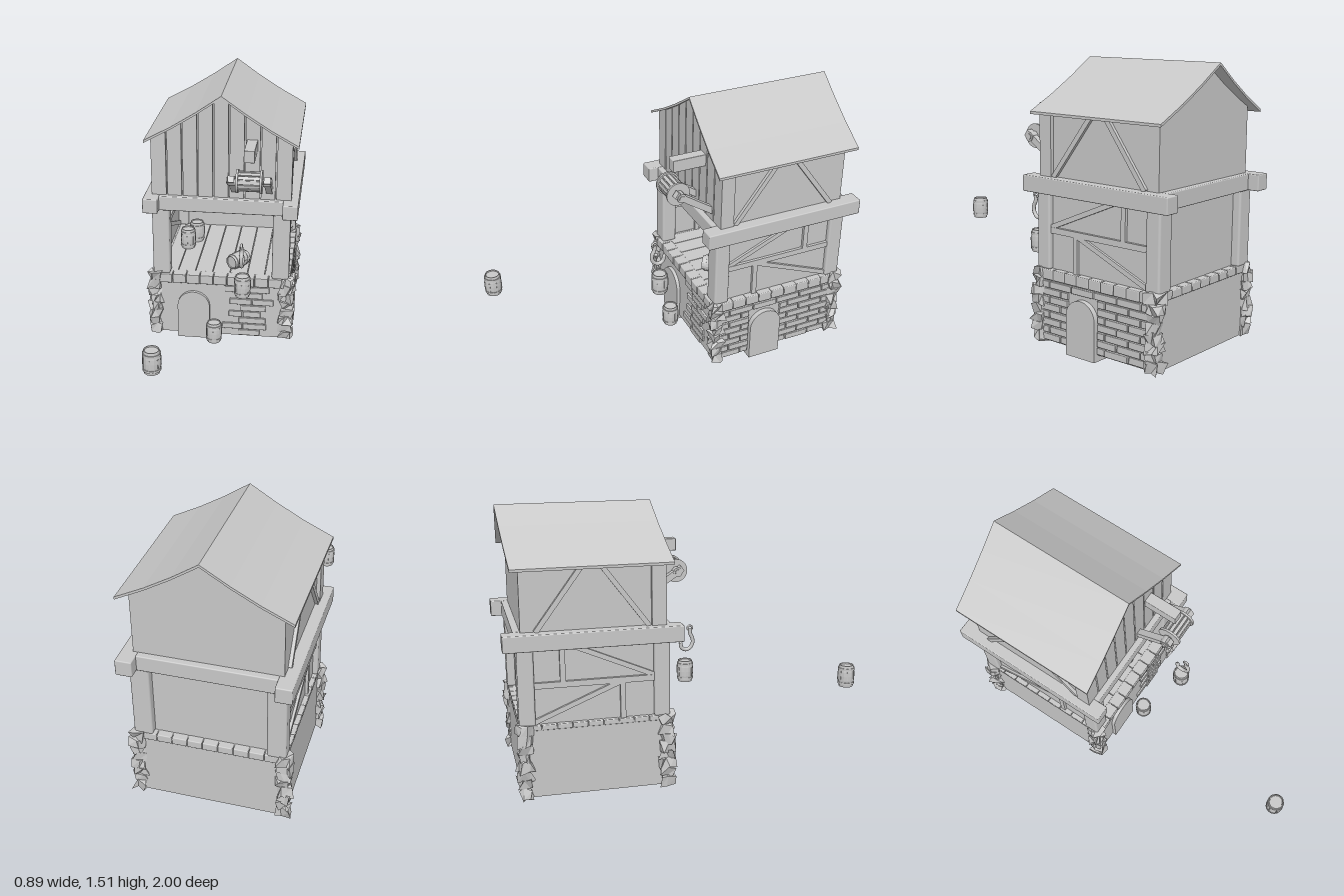
import * as THREE from 'three';
import { RoundedBoxGeometry } from 'three/addons/geometries/RoundedBoxGeometry.js';

export function createModel() {
  const root = new THREE.Group();
  root.name = 'warehouse';
  const grey = new THREE.MeshStandardMaterial({ color: 0xc8c8c8 });
  grey.name = 'plain grey';
  let seed = 7;
  const rnd = () => (seed = (seed * 16807) % 2147483647) / 2147483647;

  const group = (name, parent = root) => {
    const g = new THREE.Group();
    g.name = name;
    parent.add(g);
    return g;
  };
  const add = (name, geo, parent = root) => {
    const m = new THREE.Mesh(geo, grey);
    m.name = name;
    parent.add(m);
    return m;
  };
  // box given by its limits on each axis; r > 0 rounds the edges
  const box = (name, x0, x1, y0, y1, z0, z1, parent = root, r = 0) => {
    const s = [x1 - x0, y1 - y0, z1 - z0];
    const m = add(name, r ? new RoundedBoxGeometry(...s, 2, r) : new THREE.BoxGeometry(...s), parent);
    m.position.set((x0 + x1) / 2, (y0 + y1) / 2, (z0 + z1) / 2);
    return m;
  };
  const flat = (geo) => {
    const g = geo.index ? geo.toNonIndexed() : geo;
    g.computeVertexNormals();
    return g;
  };
  const extrude = (pts, depth) => new THREE.ExtrudeGeometry(
    new THREE.Shape(pts.map((p) => new THREE.Vector2(...p))), { depth, bevelEnabled: false });
  // timber in the y-z plane between two points
  const timber = (name, x, w, z0, y0, z1, y1, t, parent) => {
    const m = add(name, new THREE.BoxGeometry(w, t, Math.hypot(z1 - z0, y1 - y0)), parent);
    m.position.set(x, (y0 + y1) / 2, (z0 + z1) / 2);
    m.rotation.x = -Math.atan2(y1 - y0, z1 - z0);
    return m;
  };

  // stone base
  box('baseWalls', -0.395, 0.395, 0.035, 0.415, -0.92, -0.14);
  const floor = group('floorPlanks');
  for (let i = 0; i < 7; i++) {
    const x = -0.36 + i * 0.103;
    box('floorPlank', x, x + 0.099, 0.41, 0.426, -0.9, -0.17, floor);
  }

  // arched doors
  const door = (name, depth) => {
    const s = new THREE.Shape();
    s.moveTo(-0.096, 0);
    s.lineTo(0.096, 0);
    s.lineTo(0.096, 0.21);
    s.absarc(0, 0.21, 0.096, 0, Math.PI, false);
    s.closePath();
    return add(name, new THREE.ExtrudeGeometry(s, { depth, bevelEnabled: false, curveSegments: 16 }));
  };
  door('frontDoor', 0.085).position.set(-0.16, 0.012, -0.205);
  const sideDoor = door('sideDoor', 0.205);
  sideDoor.rotation.y = Math.PI / 2;
  sideDoor.position.set(0.22, 0, -0.453);

  // brickwork on the side wall, interrupted by the door
  const bricks = group('bricks');
  for (let row = 0; row < 8; row++) {
    const y = 0.042 + row * 0.041;
    for (let z = -0.9 - (row % 2) * 0.075; z < -0.17; z += 0.15) {
      let a = Math.max(z, -0.9), b = Math.min(z + 0.145, -0.165);
      if (y < 0.29) {
        if (a > -0.55 && b < -0.355) continue;
        if (a < -0.55 && b > -0.55) b = -0.552;
        else if (a > -0.55 && a < -0.355) a = -0.353;
      }
      if (b - a > 0.015) box('sideBrick', 0.385, 0.405 + rnd() * 0.006, y, y + 0.036, a, b, bricks, 0.004);
    }
  }
  // scattered bricks on the front: x start, x end, y
  [[0.03, 0.115, 0.33], [0.12, 0.29, 0.33], [0.12, 0.25, 0.29], [0.055, 0.185, 0.248], [0.19, 0.315, 0.248],
    [0.12, 0.27, 0.206], [0.05, 0.13, 0.165], [0.135, 0.24, 0.165], [0.11, 0.27, 0.123], [0.01, 0.13, 0.082],
    [0.135, 0.275, 0.082], [0.11, 0.235, 0.041]]
    .forEach(([a, b, y]) => box('frontBrick', a, b, y, y + 0.037, -0.15, -0.129, bricks, 0.004));

  // capping course along front, back and open side
  const course = group('cappingStones');
  for (let i = 0; i < 9; i++) {
    const x = -0.365 + i * 0.081;
    box('frontCap', x, x + 0.078, 0.372, 0.428, -0.19, -0.125 + rnd() * 0.005, course, 0.005);
    box('backCap', x, x + 0.078, 0.385, 0.428, -0.927, -0.87, course, 0.005);
    const z = -0.895 + i * 0.081;
    box('sideCap', 0.36, 0.406 + rnd() * 0.006, 0.372, 0.428, z, z + 0.078, course, 0.005);
    box('plainSideCap', -0.398, -0.35, 0.4, 0.428, z, z + 0.078, course, 0.005);
  }

  // rough stones stacked at the four corners
  const corners = group('cornerStones');
  for (const sx of [-1, 1]) for (const z of [-0.905, -0.155]) {
    for (let i = 0; i < 8; i++) {
      const g = new THREE.BoxGeometry(0.066, 0.054, 0.066, 2, 1, 2);
      const p = g.attributes.position, moved = {};
      for (let k = 0; k < p.count; k++) {
        const key = [p.getX(k), p.getY(k), p.getZ(k)].map((v) => v.toFixed(3)).join();
        const d = moved[key] ||= [rnd() - 0.5, rnd() - 0.5, rnd() - 0.5];
        p.setXYZ(k, p.getX(k) + d[0] * 0.034, p.getY(k) + d[1] * 0.022, p.getZ(k) + d[2] * 0.034);
      }
      const m = add('cornerStone', flat(g), corners);
      m.position.set(sx * 0.388, 0.062 + i * 0.049, z);
      m.rotation.y = (rnd() - 0.5) * 0.5;
    }
  }

  // middle storey: posts, panels, braces and ring beams
  const frame = group('timberFrame');
  box('backPanel', -0.37, 0.37, 0.42, 0.84, -0.885, -0.87, frame);
  box('ceiling', -0.37, 0.37, 0.85, 0.91, -0.89, -0.18, frame);
  for (const s of [-1, 1]) {
    const side = group(s > 0 ? 'leftSide' : 'rightSide', frame);
    const sbox = (n, a, b, ...rest) => box(n, Math.min(s * a, s * b), Math.max(s * a, s * b), ...rest);
    sbox('frontPost', 0.3, 0.4, 0.425, 0.84, -0.22, -0.135, side, 0.012);
    sbox('backPost', 0.3, 0.4, 0.425, 0.84, -0.93, -0.845, side, 0.012);
    sbox('sidePanel', 0.362, 0.372, 0.42, 0.84, -0.86, -0.2, side);
    sbox('sideBeam', 0.355, 0.442, 0.833, 0.92, -1.0, -0.07, side, 0.006);
    sbox('rail', 0.348, 0.388, 0.62, 0.652, -0.85, -0.21, side);
    sbox('upperStud', 0.348, 0.388, 0.65, 0.835, -0.712, -0.684, side);
    sbox('lowerStud', 0.348, 0.388, 0.425, 0.62, -0.4, -0.372, side);
    timber('upperBrace', s * 0.368, 0.036, -0.22, 0.652, -0.64, 0.835, 0.026, side);
    timber('lowerBrace', s * 0.368, 0.036, -0.39, 0.63, -0.85, 0.44, 0.026, side);
    // upper storey timbers
    sbox('upperPost', 0.36, 0.4, 0.915, 1.262, -0.232, -0.155, side);
    timber('gableBraceFront', s * 0.384, 0.028, -0.245, 0.92, -0.5, 1.26, 0.026, side);
    timber('gableBraceBack', s * 0.384, 0.028, -0.83, 0.92, -0.58, 1.26, 0.026, side);
  }
  box('frontBeam', -0.357, 0.357, 0.833, 0.92, -0.215, -0.125, frame, 0.006);
  box('backBeam', -0.357, 0.357, 0.833, 0.92, -0.94, -0.85, frame, 0.006);

  // roof line, slightly sagging from ridge to eaves
  const line = [[0, 1.515], [0.14, 1.42], [0.28, 1.335], [0.435, 1.253]];
  const roofY = (x) => {
    const a = Math.abs(x);
    const i = a < 0.14 ? 0 : a < 0.28 ? 1 : 2;
    const [p, q] = [line[i], line[i + 1]];
    return p[1] + ((a - p[0]) / (q[0] - p[0])) * (q[1] - p[1]);
  };

  // upper storey body with gable ends
  const xs = [0.38, 0.28, 0.14, 0, -0.14, -0.28, -0.38];
  const body = extrude([[-0.38, 0.9], [0.38, 0.9], ...xs.map((x) => [x, roofY(x) - 0.008])], 0.73);
  add('upperStorey', body).position.z = -0.905;

  // vertical boards on the front gable
  const boards = group('gableBoards');
  for (let i = 0; i < 9; i++) {
    const a = -0.4 + i * 0.0889 + 0.004, b = a + 0.081;
    const top = [b, ...(i === 4 ? [0] : []), a].map((x) => [x, roofY(x) - 0.008]);
    add('gableBoard', extrude([[a, 0.915], [b, 0.915], ...top], 0.025), boards).position.z = -0.18;
  }

  // roof sheet, whose ridge is set further back than the eaves
  const right = line.map(([x, y]) => [x, y]);
  const half = [...right.slice().reverse(), ...right.slice(1).map(([x, y]) => [-x, y])];
  const under = half.slice().reverse().map(([x, y]) => [x, y - 0.014]);
  const roof = extrude([...half, ...under], 0.83);
  const rp = roof.attributes.position;
  for (let k = 0; k < rp.count; k++) {
    rp.setZ(k, rp.getZ(k) - 0.95 - 0.03 * (1 - Math.abs(rp.getX(k)) / 0.435));
  }
  add('roof', flat(roof));

  // hoist: jib, arms, axle and slatted drum
  const hoist = group('hoist');
  box('jib', 0.145, 0.205, 1.203, 1.272, -0.17, 0.032, hoist, 0.004);
  const cyl = (name, r, x0, x1, seg) => {
    const m = add(name, new THREE.CylinderGeometry(r, r, x1 - x0, seg), hoist);
    m.rotation.z = Math.PI / 2;
    m.position.set((x0 + x1) / 2, 1.095, 0.022);
  };
  cyl('axle', 0.016, 0.05, 0.302, 12);
  cyl('drum', 0.05, 0.115, 0.24, 16);
  cyl('flange', 0.066, 0.106, 0.118, 24);
  cyl('flange', 0.066, 0.237, 0.249, 24);
  for (let i = 0; i < 14; i++) {
    const a = (i / 14) * Math.PI * 2;
    const m = box('drumSlat', 0.118, 0.237, -0.005, 0.005, -0.009, 0.009, hoist);
    m.position.set(0.1775, 1.095 + Math.cos(a) * 0.051, 0.022 + Math.sin(a) * 0.051);
    m.rotation.x = a;
  }
  for (const x of [0.078, 0.275]) {
    timber('hoistArm', x, 0.036, 0.05, 1.115, -0.175, 0.965, 0.036, hoist);
    cyl('armBearing', 0.026, x - 0.022, x + 0.022, 12);
  }

  // hanging hook
  const hook = group('hook');
  const path = [[0.745, 0.115], [0.71, 0.118], [0.685, 0.13], [0.655, 0.132], [0.625, 0.115], [0.616, 0.09],
    [0.63, 0.066], [0.66, 0.06]].map(([y, z]) => new THREE.Vector3(0.148, y, z));
  add('hookCurve', new THREE.TubeGeometry(new THREE.CatmullRomCurve3(path), 28, 0.011, 8), hook);
  const tip = add('hookTip', new THREE.ConeGeometry(0.011, 0.022, 8), hook);
  tip.position.set(0.148, 0.67, 0.059);
  const eye = add('hookEye', new THREE.TorusGeometry(0.014, 0.006, 8, 16), hook);
  eye.position.set(0.148, 0.745, 0.115);
  eye.rotation.y = Math.PI / 2;

  // barrels: bulged staves, hoops and recessed lids
  const profile = [[0, -0.056], [0.035, -0.056], [0.036, -0.063], [0.04, -0.063], [0.046, -0.025], [0.047, 0],
    [0.046, 0.025], [0.04, 0.063], [0.036, 0.063], [0.035, 0.056], [0, 0.056]].map((p) => new THREE.Vector2(...p));
  const barrel = (x, y, z) => {
    const b = group('barrel');
    add('staves', flat(new THREE.LatheGeometry(profile, 14)), b);
    for (const [h, r] of [[-0.042, 0.0435], [0.042, 0.0435]]) {
      add('hoop', new THREE.CylinderGeometry(r + 0.003, r + 0.003, 0.012, 20), b).position.y = h;
    }
    for (let i = 0; i < 14; i += 2) {
      const a = (i / 14) * Math.PI * 2;
      const m = add('staveRidge', new THREE.BoxGeometry(0.006, 0.05, 0.004), b);
      m.position.set(Math.sin(a) * 0.0465, (rnd() - 0.5) * 0.02, Math.cos(a) * 0.0465);
      m.rotation.y = a;
    }
    b.position.set(x, y, z);
    return b;
  };
  barrel(-0.203, 0.502, 0.947);
  barrel(0.152, 0.491, 0.088);
  barrel(-0.03, 0.096, -0.062);
  barrel(-0.25, 0.489, -0.52);
  barrel(-0.21, 0.489, -0.63);
  const lying = barrel(0.09, 0.474, -0.28);
  lying.quaternion.setFromUnitVectors(new THREE.Vector3(0, 1, 0), new THREE.Vector3(0.6, 0, -0.8));

  return root;
}
